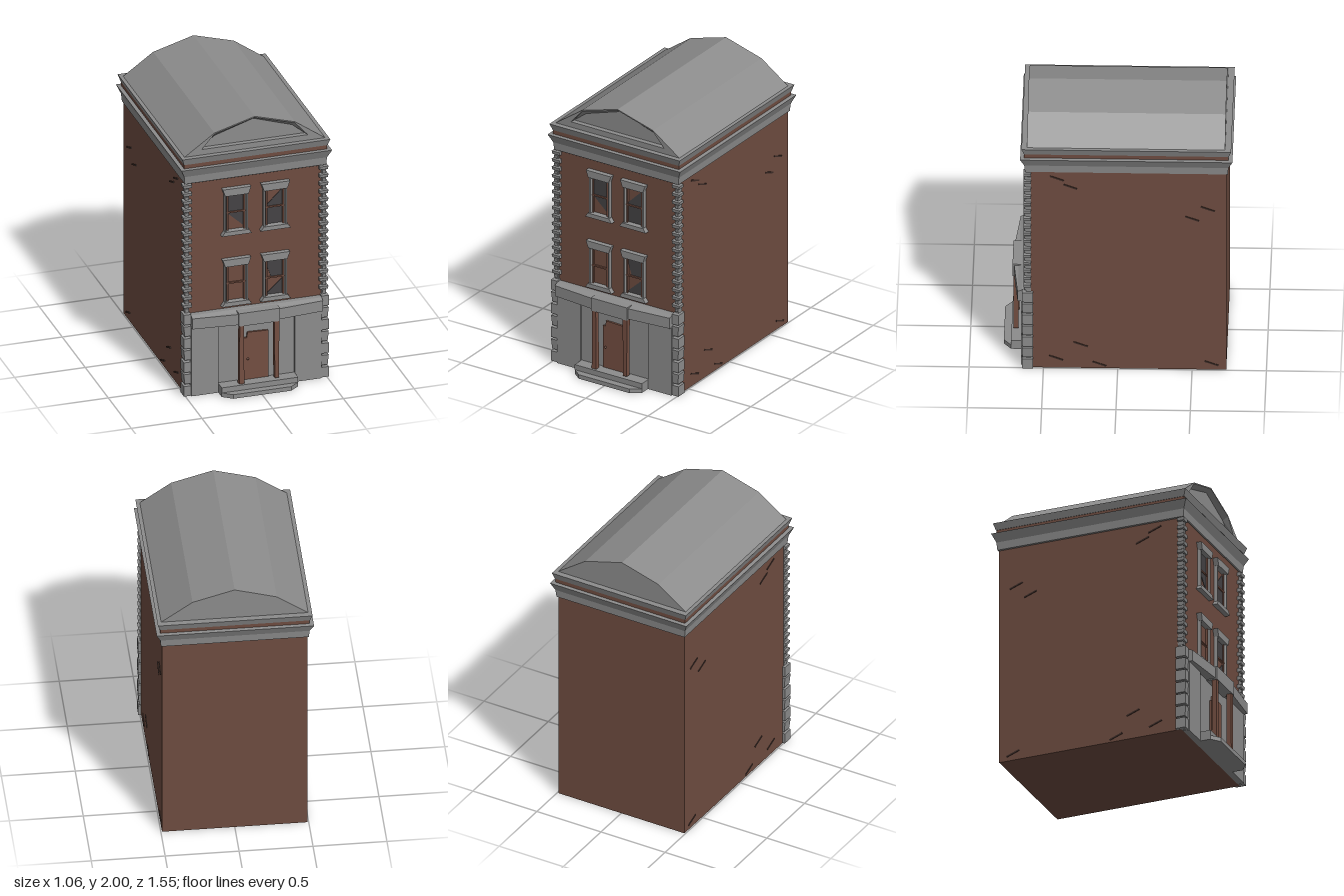
import * as THREE from 'three';

const paint = (name, color) => {
  const m = new THREE.MeshStandardMaterial({ color });
  m.name = name;
  return m;
};

// Flat-sided skin through equal loops of [x, y, z], with an optional lid on the last one
function loft(loops, lid = false) {
  const pos = [];
  const n = loops[0].length;
  for (let k = 0; k < loops.length - 1; k++) {
    for (let i = 0; i < n; i++) {
      const j = (i + 1) % n, a = loops[k], b = loops[k + 1];
      pos.push(...a[i], ...a[j], ...b[j], ...a[i], ...b[j], ...b[i]);
    }
  }
  const top = loops[loops.length - 1];
  if (lid) for (let i = 1; i < n - 1; i++) pos.push(...top[0], ...top[i], ...top[i + 1]);
  const g = new THREE.BufferGeometry();
  g.setAttribute('position', new THREE.Float32BufferAttribute(pos, 3));
  g.computeVertexNormals();
  return g;
}

const shapeOf = (pts) => new THREE.Shape(pts.map(([x, y]) => new THREE.Vector2(x, y)));

// Outline in x and y, pushed from z0 to z1
const plate = (pts, z0, z1) =>
  new THREE.ExtrudeGeometry(shapeOf(pts), { depth: z1 - z0, bevelEnabled: false }).translate(0, 0, z0);

// Outline in x and z, raised from y0 to y1
const slab = (pts, y0, y1) =>
  new THREE.ExtrudeGeometry(shapeOf(pts.map(([x, z]) => [x, -z])), { depth: y1 - y0, bevelEnabled: false })
    .rotateX(-Math.PI / 2).translate(0, y0, 0);

// Box from its limits
const block = (x0, x1, y0, y1, z0, z1) =>
  new THREE.BoxGeometry(x1 - x0, y1 - y0, z1 - z0).translate((x0 + x1) / 2, (y0 + y1) / 2, (z0 + z1) / 2);

export function createModel() {
  const model = new THREE.Group();
  model.name = 'townHouse';
  const stone = paint('grey stone', 0x8c8c8c);
  const brick = paint('brown brick', 0x6e4c40);
  const wood = paint('brown wood', 0x734e41);
  const glass = paint('dark glass', 0x444244);
  const worn = paint('dark brick', 0x3d2c27);
  const add = (name, geometry, material, parent = model) => {
    const mesh = new THREE.Mesh(geometry, material);
    mesh.name = name;
    parent.add(mesh);
    return mesh;
  };
  const group = (name) => {
    const g = new THREE.Group();
    g.name = name;
    model.add(g);
    return g;
  };
  const WALL = 0.605;

  // Main body
  add('brickBody', block(-0.492, 0.492, 0, 1.6, -0.73, WALL), brick);

  // Cornice rings: half width a at height y
  const ring = ([a, y]) => [[1, 1], [1, -1], [-1, -1], [-1, 1]].map(([sx, sz]) =>
    [sx * a, y, -0.058 + sz * (a + 0.182)]);
  add('lowerCornice', loft([[0.492, 1.57], [0.5, 1.575], [0.505, 1.63], [0.532, 1.69], [0.5, 1.692]].map(ring)), stone);
  add('corniceBrickBand', loft([[0.505, 1.688], [0.505, 1.722]].map(ring)), brick);
  add('upperCornice', loft([[0.5, 1.718], [0.507, 1.72], [0.523, 1.768]].map(ring), true), stone);

  // Faceted roof with a splayed recess in the front gable
  const outline = [[-0.5, 1.766], [0.5, 1.766], [0.285, 1.918], [0, 2], [-0.285, 1.918]];
  const mouth = [[-0.375, 1.808], [0.375, 1.808], [0.285, 1.91], [0, 1.992], [-0.285, 1.91]];
  const deep = [[-0.37, 1.809], [0.37, 1.809], [0.275, 1.882], [0, 1.97], [-0.275, 1.882]];
  const at = (pts, z) => pts.map(([x, y]) => [x, y, z]);
  add('roof', loft([at(outline, -0.722), at(outline, 0.61)]), stone);
  add('backGable', new THREE.ShapeGeometry(shapeOf(outline)).rotateY(Math.PI)
    .translate(0, 0, -0.722), stone);
  add('frontGable', loft([at(outline, 0.61), at(mouth, 0.61), at(deep, 0.575)], true), stone);

  // Corner stones, alternating long and short
  const quoins = group('quoins');
  for (const s of [-1, 1]) {
    const corner = (inner, outer, y0, y1, back, front, cut) => {
      const loop = (d, y) => [[outer - d, front - d], [outer - d, back], [inner, back], [inner, front - d]]
        .map(([x, z]) => [s > 0 ? x : inner + outer - x - inner - outer, y, z]);
      const loops = [loop(0.02, y0), loop(cut, y0 + 0.003), loop(0, y1 - 0.003), loop(0.02, y1)];
      if (s < 0) loops.forEach((l) => l.reverse());
      add('quoin', loft(loops, true), stone, quoins);
    };
    for (let i = 0; i < 7; i++) {
      const y = i * 0.0885;
      corner(0.462, 0.512, y, y + 0.08, 0.57, 0.645, i % 2 ? 0.006 : 0);
    }
    for (let i = 0; i < 32; i++) {
      const y = 0.62 + i * 0.0297;
      if (i % 2) corner(0.452, 0.513, y, y + 0.028, 0.582, 0.635, 0.003);
      else corner(0.472, 0.5, y, y + 0.028, 0.582, 0.628, 0.002);
    }
    add('quoinCore', block(s > 0 ? 0.47 : -0.496, s > 0 ? 0.496 : -0.47, 0, 1.57, 0.585, 0.618), stone, quoins);
  }

  // Ground floor stonework
  const entrance = group('entrance');
  add('stoneFront', block(-0.465, 0.465, 0, 0.52, 0.59, 0.638), stone, entrance);
  for (const s of [-1, 1]) {
    add('stonePanel', block(s * 0.365 - 0.095, s * 0.365 + 0.095, 0, 0.51, 0.62, 0.65), stone, entrance);
  }
  add('stoneBand', slab([[-0.462, 0.6], [-0.462, 0.675], [-0.145, 0.705], [0.145, 0.705], [0.462, 0.675], [0.462, 0.6]],
    0.51, 0.588), stone, entrance);
  add('bandTop', loft([0.588, 0.6].map((y, k) =>
    [[0.462, y, 0.675 - k * 0.03], [0.462, y, 0.6], [-0.462, y, 0.6], [-0.462, y, 0.675 - k * 0.03]]), true), stone, entrance);
  add('doorCanopy', block(-0.145, 0.145, 0.502, 0.598, 0.62, 0.716), stone, entrance);

  // Door, posts and steps
  add('door', plate([[-0.09, 0.07], [0.082, 0.07], [0.082, 0.415], [-0.065, 0.42], [-0.07, 0.38], [-0.09, 0.38]],
    0.636, 0.652), wood, entrance);
  add('doorKnob', new THREE.SphereGeometry(0.008, 8, 6).translate(-0.065, 0.225, 0.658), wood, entrance);
  add('rightPost', plate([[-0.142, 0.07], [-0.106, 0.07], [-0.11, 0.502], [-0.138, 0.502]], 0.676, 0.71), wood, entrance);
  add('leftPost', plate([[0.11, 0.08], [0.138, 0.08], [0.142, 0.502], [0.106, 0.502]], 0.676, 0.71), wood, entrance);
  add('lowerStep', slab([[-0.27, 0.62], [-0.27, 0.722], [-0.205, 0.773], [0.205, 0.773], [0.27, 0.722], [0.27, 0.62]],
    0, 0.03), stone, entrance);
  add('upperStep', block(-0.27, 0.27, 0.03, 0.068, 0.62, 0.723), stone, entrance);

  // Windows: glass pieces are given in opening units from 0 to 1
  const windows = [
    { x: -0.135, y: 1.178, panes: [[[0, 0.52], [1, 0.52], [1, 1], [0, 1]], [[0, 0.5], [1, 0.05], [1, 0.5]]] },
    { x: 0.14, y: 1.178, panes: [[[0, 0.52], [1, 0.52], [1, 1]], [[0, 0.03], [1, 0.03], [1, 0.48], [0, 0.48]]] },
    { x: -0.135, y: 0.652, panes: [] },
    { x: 0.14, y: 0.652, panes: [[[0, 0.95], [0.3, 0.52], [1, 0.52], [1, 1]], [[0, 0.03], [1, 0.03], [1, 0.48]]] },
  ];
  const W = 0.066, H = 0.27;
  for (const { x, y, panes } of windows) {
    const win = group('window');
    win.position.set(x, y, 0);
    const frame = (w, b, t, z) => [[-w, b, z], [w, b, z], [w, t, z], [-w, t, z]];
    add('windowFrame', loft([frame(0.084, -0.01, H + 0.01, WALL), frame(0.08, -0.006, H + 0.006, 0.63),
      frame(0.07, 0, H, 0.63), frame(0.062, 0.006, H - 0.006, WALL)]), stone, win);
    add('lintel', plate([[-0.082, H - 0.002], [0.082, H - 0.002], [0.1, H + 0.05], [-0.1, H + 0.05]], 0.6, 0.64), stone, win);
    add('sill', plate([[-0.106, -0.028], [0.106, -0.028], [0.085, 0.002], [-0.085, 0.002]], 0.6, 0.64), stone, win);
    for (const p of panes) {
      add('glassPane', plate(p.map(([u, v]) => [(u * 2 - 1) * W, v * H]), WALL, 0.609), glass, win);
    }
    add('sashBar', block(-W, W, H / 2 - 0.005, H / 2 + 0.005, WALL, 0.618), wood, win);
    for (const s of [-1, 1]) {
      add('sashSide', block(s * 0.058 - 0.005, s * 0.058 + 0.005, 0, H, WALL, 0.618), wood, win);
    }
  }

  // Worn brick marks on both side walls, as z and y
  const marks = group('wornMarks');
  for (const [z, y] of [[0.41, 1.52], [0.32, 1.455], [-0.5, 1.21], [-0.605, 1.29],
    [0.25, 0.19], [0.415, 0.078], [0.125, 0.035], [-0.63, 0.05]]) {
    for (const s of [-1, 1]) {
      const mark = add('wornMark', new THREE.BoxGeometry(0.006, 0.011, 0.1), worn, marks);
      mark.position.set(s * 0.493, y, z);
      mark.rotation.x = -0.36;
    }
  }
  return model;
}
